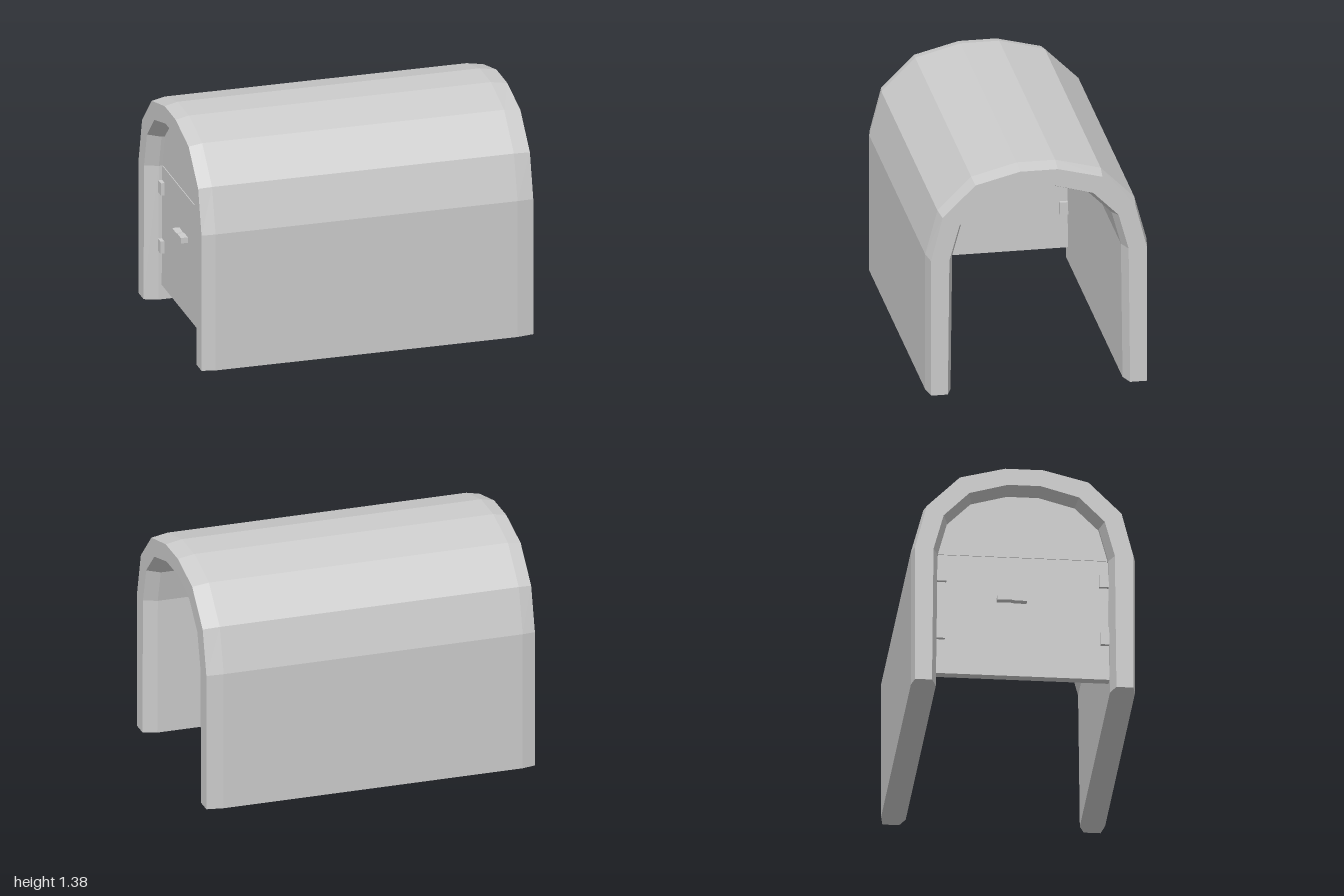
import * as THREE from 'three';

const material = new THREE.MeshStandardMaterial({ color: 0xcccccc, flatShading: true });

// Half arches as [z, y], from the foot up to the crown
const outerMid = [[0.65, 0], [0.65, 0.845], [0.578, 1.113], [0.38, 1.31], [0.113, 1.38]];
const outerEnd = [[0.633, 0], [0.633, 0.84], [0.565, 1.105], [0.373, 1.295], [0.111, 1.362]];
const innerMid = [[0.505, 0], [0.495, 0.835], [0.44, 1.037], [0.303, 1.172], [0.092, 1.23]];
const innerEnd = [[0.535, 0], [0.526, 0.835], [0.467, 1.05], [0.318, 1.198], [0.095, 1.26]];

const mirrorArch = (half) => [...half, ...half.map(([z, y]) => [-z, y]).reverse()];

// Wall section along x, swept over the arch, with chamfers at both mouths
function shellGeometry() {
  const section = [
    [-1, outerEnd], [-0.92, outerMid], [0.9, outerMid], [1, outerEnd],
    [1, innerEnd], [0.92, innerMid], [-0.92, innerMid], [-1, innerEnd],
  ].map(([x, half]) => [x, mirrorArch(half)]);
  const n = section.length, rows = 2 * outerMid.length;
  const positions = [], index = [];
  for (let i = 0; i < rows; i++) {
    for (const [x, arch] of section) positions.push(x, arch[i][1], arch[i][0]);
  }
  for (let i = 0; i < rows - 1; i++) {
    for (let j = 0; j < n; j++) {
      const a = i * n + j, b = i * n + (j + 1) % n;
      index.push(a, b, b + n, a, b + n, a + n);
    }
  }
  // Flat feet
  const last = (rows - 1) * n;
  for (let j = 1; j < n - 1; j++) {
    index.push(0, j + 1, j, last, last + j, last + j + 1);
  }
  const indexed = new THREE.BufferGeometry();
  indexed.setAttribute('position', new THREE.Float32BufferAttribute(positions, 3));
  indexed.setIndex(index);
  const geometry = indexed.toNonIndexed();
  geometry.computeVertexNormals();
  return geometry;
}

// Plate from a [z, y] outline, spanning x0 to x1
function plate(outline, x0, x1) {
  const shape = new THREE.Shape(outline.map(([z, y]) => new THREE.Vector2(-z, y)));
  return new THREE.ExtrudeGeometry(shape, { depth: x1 - x0, bevelEnabled: false })
    .rotateY(Math.PI / 2)
    .translate(x0, 0, 0);
}

export function createModel() {
  const group = new THREE.Group();
  const add = (name, geometry) => {
    const mesh = new THREE.Mesh(geometry, material);
    mesh.name = name;
    group.add(mesh);
  };

  add('archedShell', shellGeometry());

  // Closed end: door below, fixed panel above, recessed seam between
  add('door', plate([[0.505, 0.09], [0.496, 0.835], [-0.496, 0.835], [-0.505, 0.09]], -0.9, -0.845));
  add('upperPanel', plate([[0.493, 0.845], ...mirrorArch(innerMid.slice(2)), [-0.493, 0.845]], -0.9, -0.85));
  add('seam', plate([[0.49, 0.83], [0.49, 0.85], [-0.49, 0.85], [-0.49, 0.83]], -0.895, -0.86));

  // Hinges show on both faces of the door
  for (const side of [1, -1]) {
    for (const [name, y, z] of [['upperHinge', 0.708, 0.443], ['lowerHinge', 0.343, 0.452]]) {
      const width = 0.503 - z;
      const hinge = new THREE.BoxGeometry(0.1, 0.076, width);
      add(name, hinge.translate(-0.873, y, side * (z + width / 2)));
    }
  }

  // Handle with a slimmer grip beyond its neck
  add('handle', plate([
    [0.023, 0.552], [0.023, 0.586], [-0.05, 0.586], [-0.075, 0.58],
    [-0.15, 0.583], [-0.15, 0.555], [-0.075, 0.558], [-0.05, 0.553],
  ], -0.942, -0.84));

  return group;
}
